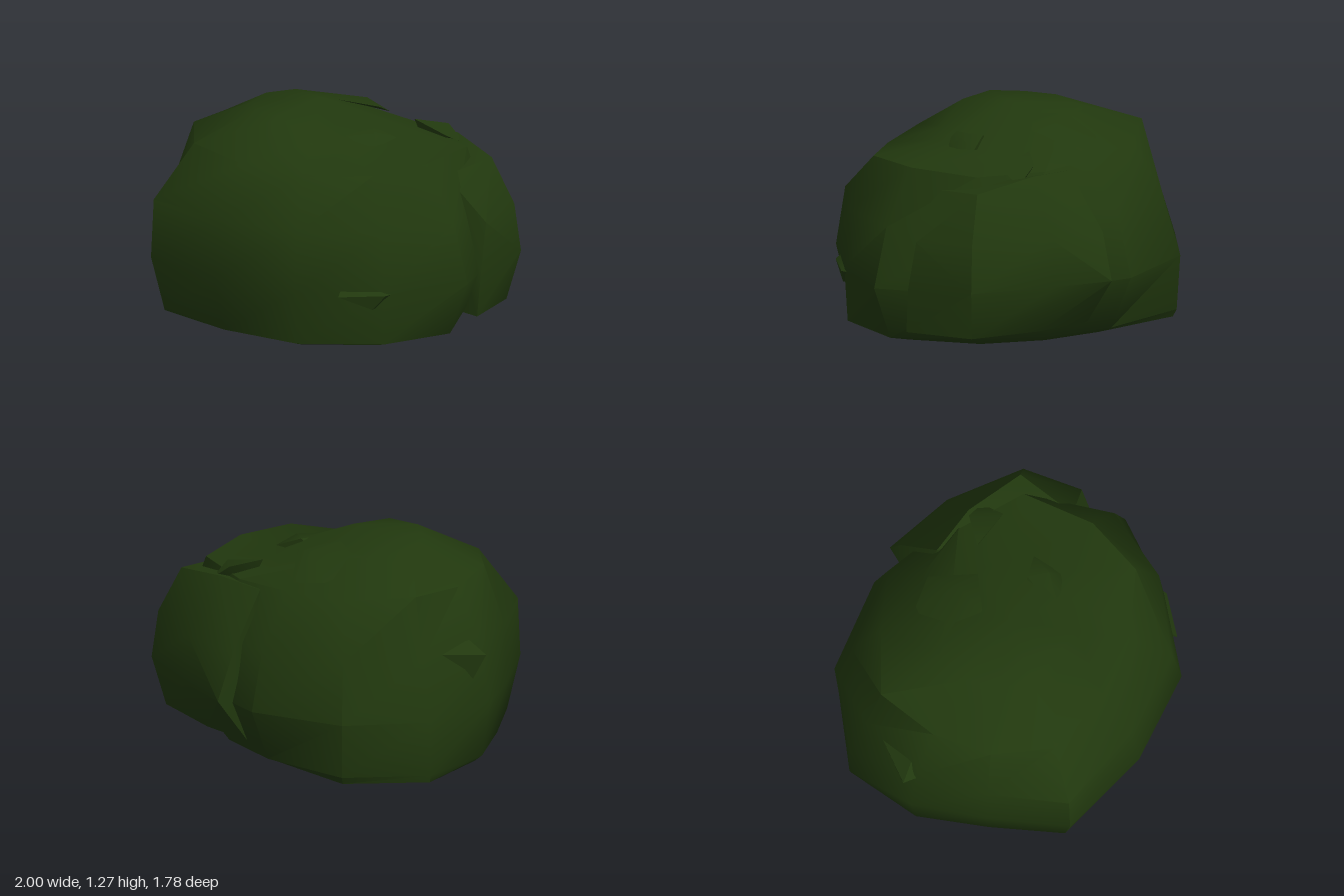
import * as THREE from 'three';
import { toCreasedNormals } from 'three/addons/utils/BufferGeometryUtils.js';
import { ConvexGeometry } from 'three/addons/geometries/ConvexGeometry.js';

const CX = -0.07, CZ = 0.04;

// Column angles in degrees, from +x towards +z
const ANGLES = [0, 26, 56, 90, 124.5, 153, 180, 207, 236, 270, 300, 330];
const SIDES = ANGLES.length;

// Radii per column, bottom to top; y is one height or one per column
const RINGS = [
  { y: 0.10, r: [0.79, 0.78, 0.72, 0.60, 0.74, 0.74, 0.82, 0.96, 0.90, 0.66, 0.64, 0.70] },
  { y: 0.14, r: [0.94, 0.92, 0.85, 0.77, 0.86, 0.78, 0.87, 0.97, 0.92, 0.75, 0.72, 0.77] },
  { y: 0.44, r: [1.07, 0.94, 0.92, 0.85, 0.935, 0.84, 0.92, 0.97, 0.94, 0.89, 0.86, 0.96] },
  { y: 0.76, r: [0.97, 0.91, 0.87, 0.80, 0.92, 0.82, 0.86, 0.87, 0.85, 0.80, 0.80, 0.90] },
  { y: [1.05, 1.04, 1.01, 1.03, 1.06, 1.08, 1.06, 1.09, 1.06, 1.04, 1.04, 1.05],
    r: [0.77, 0.77, 0.64, 0.62, 0.70, 0.71, 0.71, 0.78, 0.69, 0.58, 0.66, 0.80] },
  { y: [1.09, 1.09, 1.11, 1.22, 1.23, 1.22, 1.22, 1.21, 1.19, 1.14, 1.11, 1.08],
    r: [0.42, 0.40, 0.35, 0.31, 0.36, 0.38, 0.40, 0.40, 0.36, 0.38, 0.38, 0.42] },
];

// Lofted crown closed by an apex and a base centre
function crownGeometry() {
  const pos = [], index = [];
  RINGS.forEach(({ y, r }) => r.forEach((radius, i) => {
    const a = THREE.MathUtils.degToRad(ANGLES[i]);
    pos.push(CX + radius * Math.cos(a), Array.isArray(y) ? y[i] : y, CZ + radius * Math.sin(a));
  }));
  const apex = pos.length / 3, base = apex + 1, last = (RINGS.length - 1) * SIDES;
  pos.push(CX, 1.27, CZ, CX, 0.1, CZ);
  for (let i = 0; i < SIDES; i++) {
    const n = (i + 1) % SIDES;
    for (let k = 0; k < last; k += SIDES) {
      const a = k + i, b = k + n, c = a + SIDES, d = b + SIDES;
      index.push(a, c, b, b, c, d);
    }
    index.push(last + i, apex, last + n, i, n, base);
  }
  const g = new THREE.BufferGeometry();
  g.setAttribute('position', new THREE.Float32BufferAttribute(pos, 3));
  g.setIndex(index);
  return toCreasedNormals(g, 0.85);
}

// Foliage clumps, as hull corners
const CLUMPS = {
  // Large overhanging lobe, from its raised rim up to its shoulder
  backLobe: [
    [0.92, 0.21, -0.12], [0.8, 0.21, -0.48], [0.41, 0.2, -0.62], [0.09, 0.2, -0.68], [0.3, 0.2, -0.2],
    [0.93, 0.45, -0.14], [0.86, 0.48, -0.53], [0.45, 0.48, -0.77], [0.13, 0.47, -0.89],
    [0.92, 0.72, -0.19], [0.83, 0.74, -0.51], [0.45, 0.74, -0.74], [0.1, 0.72, -0.8],
    [0.71, 0.96, -0.1], [0.72, 0.99, -0.45], [0.38, 1.04, -0.55], [0.1, 1.02, -0.56],
  ],
  leftClump: [[-1, 0.73, 0], [-0.8, 0.71, 0.12], [-0.9, 0.8, -0.02], [-0.8, 0.78, -0.35], [-0.95, 0.6, -0.05], [-0.7, 0.7, -0.1]],
  topClump: [[-0.44, 1.2, -0.17], [-0.06, 1.2, -0.31], [0.07, 1.18, -0.27], [-0.07, 1.08, -0.5], [-0.25, 1.1, -0.45], [-0.1, 1.22, -0.12]],
  rearTopClump: [[0.34, 1.09, -0.52], [0.22, 1.12, -0.38], [0.46, 1.07, -0.38], [0.46, 1, -0.52], [0.3, 0.95, -0.4]],
  crestClump: [[0.35, 1.1, -0.1], [0.31, 1.14, 0.03], [0.22, 1.15, -0.05], [0.12, 1.13, 0.25], [0.2, 1.08, 0.28], [0.36, 1.08, 0.08], [0.1, 1.05, 0]],
  frontChip: [[0.57, 0.57, 0.5], [0.62, 0.42, 0.65], [0.79, 0.42, 0.46], [0.79, 0.42, 0.3], [0.73, 0.34, 0.5], [0.5, 0.42, 0.4]],
};

export function createModel() {
  const group = new THREE.Group();
  const leafGreen = new THREE.MeshStandardMaterial({ color: 0x21380e });
  leafGreen.name = 'leaf green';
  const add = (name, geometry) => {
    const mesh = new THREE.Mesh(geometry, leafGreen);
    mesh.name = name;
    group.add(mesh);
    return mesh;
  };

  add('crown', crownGeometry());
  for (const [name, corners] of Object.entries(CLUMPS)) {
    const hull = new ConvexGeometry(corners.map((p) => new THREE.Vector3(...p)));
    add(name, toCreasedNormals(hull, 0.7));
  }

  // Short four-sided stem
  const stem = toCreasedNormals(new THREE.CylinderGeometry(0.062, 0.062, 0.2, 4), 0.5);
  add('stem', stem).position.set(CX, 0.1, CZ);
  return group;
}
